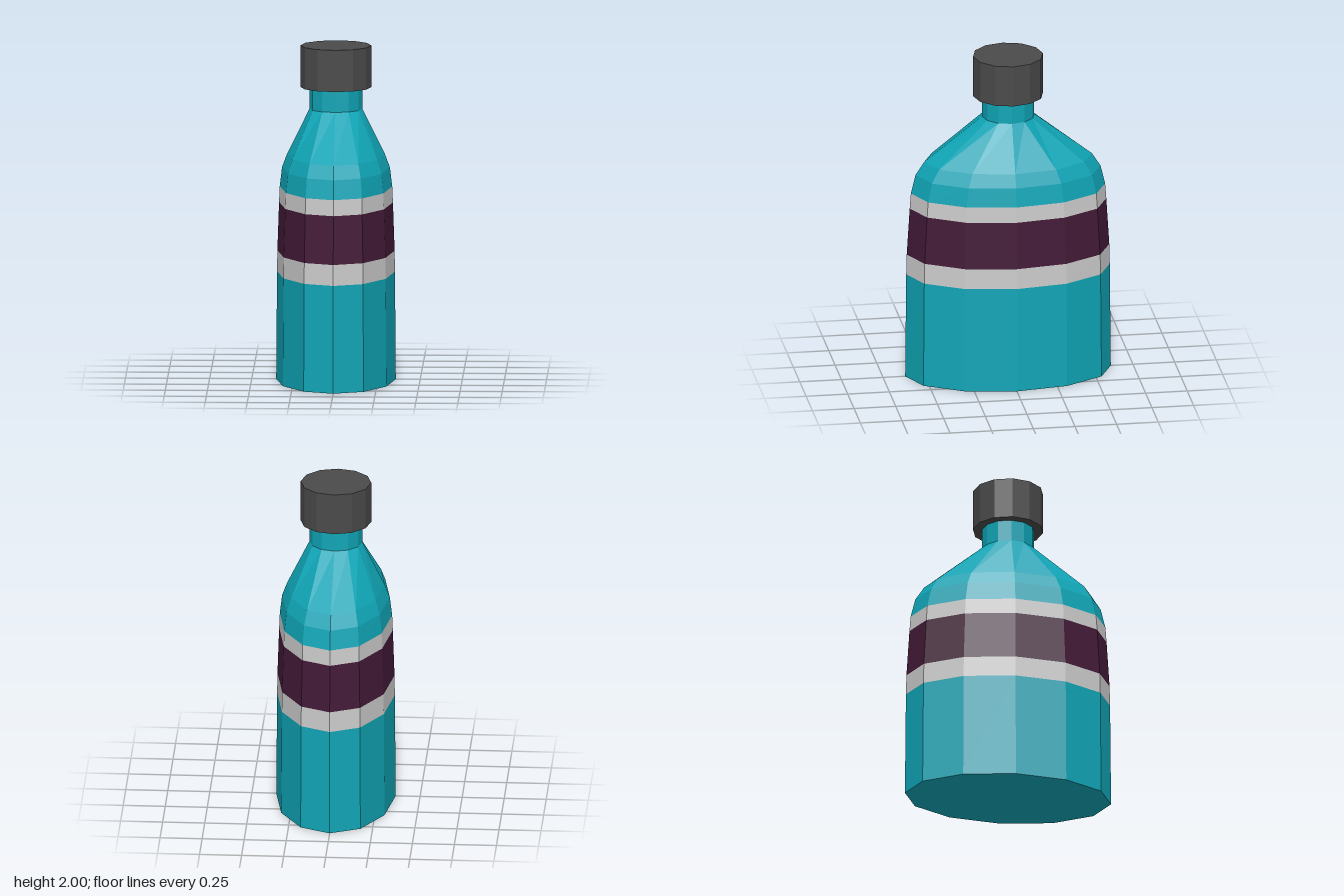
import * as THREE from 'three';

const SIDES = 12;
const TEAL = 0x10a5b6, PLUM = 0x431a38, GREY = 0xcccccc, DARK = 0x4a4a4a;

function addMesh(group, name, geometry, color) {
  const mesh = new THREE.Mesh(geometry, new THREE.MeshStandardMaterial({ color, flatShading: true }));
  mesh.name = name;
  group.add(mesh);
  return mesh;
}

// Skin over elliptical rings, each given as [y, half width, half depth], bottom to top
function loft(rings) {
  const positions = [], index = [];
  for (const [y, rx, rz] of rings) {
    for (let i = 0; i < SIDES; i++) {
      const a = (i / SIDES) * Math.PI * 2;
      positions.push(rx * Math.sin(a), y, rz * Math.cos(a));
    }
  }
  for (let j = 0; j < rings.length - 1; j++) {
    for (let i = 0; i < SIDES; i++) {
      const n = (i + 1) % SIDES;
      const a = j * SIDES + i, b = j * SIDES + n;
      const c = b + SIDES, d = a + SIDES;
      if (rings[j][1] > 0) index.push(a, b, c, a, c, d);
      else index.push(a, c, d); // fan closing the base
    }
  }
  const geometry = new THREE.BufferGeometry();
  geometry.setAttribute('position', new THREE.Float32BufferAttribute(positions, 3));
  geometry.setIndex(index);
  geometry.computeVertexNormals();
  return geometry;
}

export function createModel() {
  const bottle = new THREE.Group();
  bottle.name = 'bottle';

  // Rings shared by neighbouring bands
  const labelBase = [0.645, 0.35, 0.611];
  const stripeBase = [0.77, 0.348, 0.608];
  const stripeTop = [1.06, 0.338, 0.59];
  const labelTop = [1.155, 0.334, 0.583];
  const neckBase = [1.62, 0.157, 0.157];

  // Body, label bands and shoulder
  addMesh(bottle, 'lowerBody', loft([[0, 0, 0], [0, 0.355, 0.617], labelBase]), TEAL);
  addMesh(bottle, 'lowerLabelBand', loft([labelBase, stripeBase]), GREY);
  addMesh(bottle, 'labelStripe', loft([stripeBase, stripeTop]), PLUM);
  addMesh(bottle, 'upperLabelBand', loft([stripeTop, labelTop]), GREY);
  addMesh(bottle, 'shoulder', loft([labelTop, [1.27, 0.32, 0.555], [1.35, 0.29, 0.503], neckBase]), TEAL);

  // Neck and cap
  addMesh(bottle, 'neck', loft([neckBase, [1.76, 0.157, 0.157]]), TEAL);
  addMesh(bottle, 'cap', new THREE.CylinderGeometry(0.21, 0.21, 0.25, SIDES), DARK).position.y = 1.875;

  return bottle;
}
